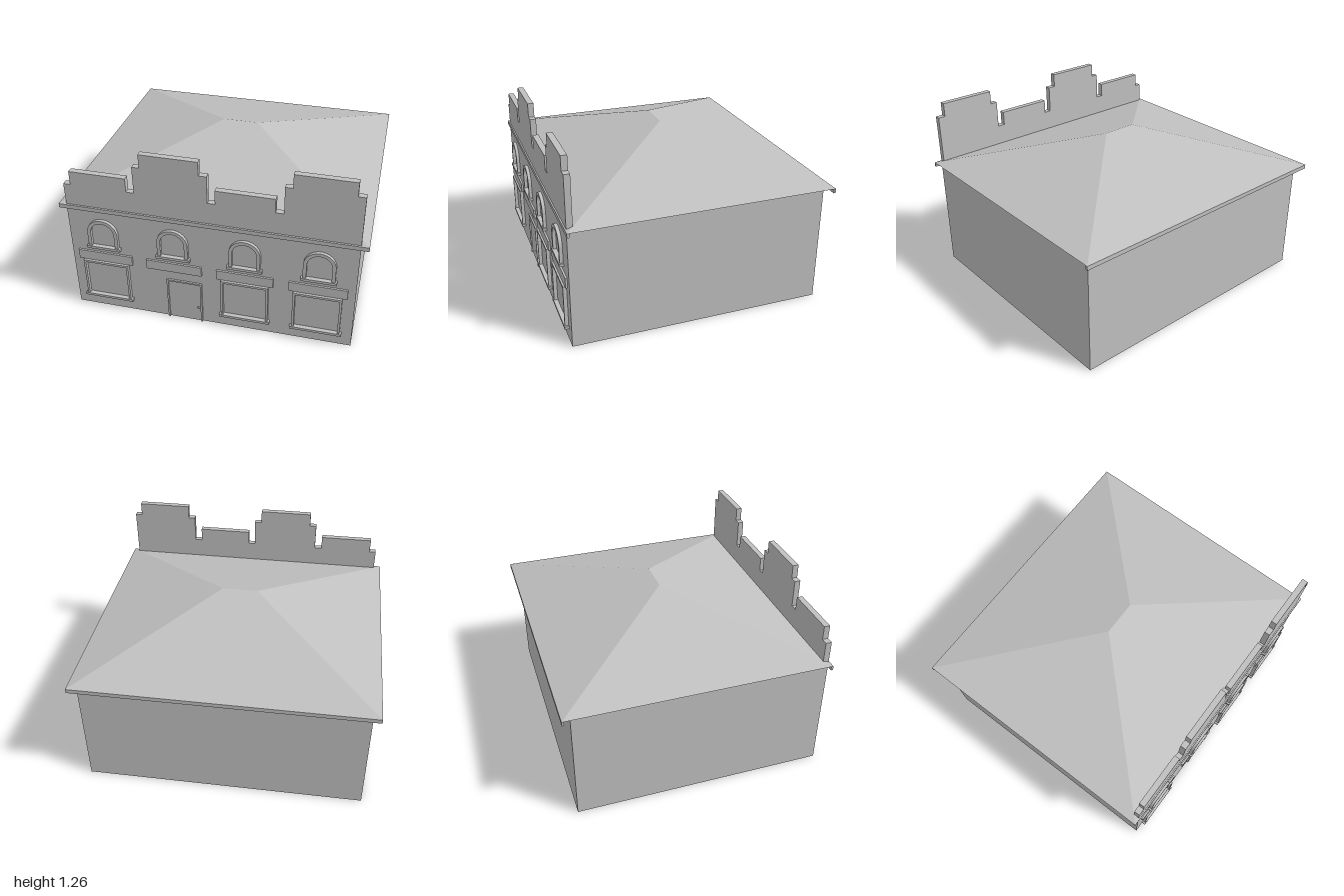
import * as THREE from 'three';

export function createModel() {
  const model = new THREE.Group();
  model.name = 'building';
  const grey = new THREE.MeshStandardMaterial({ color: 0xc0c0c0 });
  grey.name = 'plain grey';
  const wallZ = 0.866;

  const add = (name, geometry, parent = model) => {
    const mesh = new THREE.Mesh(geometry, grey);
    mesh.name = name;
    parent.add(mesh);
    return mesh;
  };
  // Box given by its lower and upper corners
  const box = (name, x0, x1, y0, y1, z0, z1, parent) =>
    add(name, new THREE.BoxGeometry(x1 - x0, y1 - y0, z1 - z0), parent)
      .position.set((x0 + x1) / 2, (y0 + y1) / 2, (z0 + z1) / 2);
  const extrude = (shape, depth) =>
    new THREE.ExtrudeGeometry(shape, { depth, bevelEnabled: false, curveSegments: 16 });
  const rect = (w, y0, y1) => [[-w, y0], [w, y0], [w, y1], [-w, y1]].map(p => new THREE.Vector2(...p));
  const arch = (path, r, y0, yc) => {
    path.moveTo(-r, y0);
    path.lineTo(r, y0);
    path.lineTo(r, yc);
    path.absarc(0, yc, r, 0, Math.PI, false);
    path.closePath();
    return path;
  };

  // Main block
  box('walls', -0.95, 0.95, 0, 0.82, -0.836, wallZ);

  // Hipped roof with a short ridge: four slopes and a flat underside
  const eave = 0.822, ridge = 1.094, zb = -0.895, zf = 0.875, zm = -0.012;
  const a = [-1, eave, zf], b = [1, eave, zf], c = [1, eave, zb], d = [-1, eave, zb];
  const l = [-0.12, ridge, zm], r = [0.12, ridge, zm];
  const faces = [a, b, r, a, r, l, c, d, l, c, l, r, b, c, r, d, a, l, a, d, c, a, c, b];
  const roof = new THREE.BufferGeometry();
  roof.setAttribute('position', new THREE.Float32BufferAttribute(faces.flat(), 3));
  roof.computeVertexNormals();
  add('hippedRoof', roof);
  box('frontEaveBoard', -1, 1, 0.793, eave, 0.86, zf);
  box('backEaveBoard', -1, 1, 0.793, eave, zb, zb + 0.014);

  // Stepped parapet: pairs of right-hand edge and top height
  const steps = [
    [-0.903, 0.978], [-0.527, 1.075], [-0.476, 0.978], [-0.428, 1.168], [-0.051, 1.263], [0, 1.168],
    [0.048, 0.978], [0.425, 1.075], [0.476, 0.978], [0.524, 1.168], [0.901, 1.263], [0.95, 1.168],
  ];
  const outline = new THREE.Shape().moveTo(-0.95, 0.8);
  let left = -0.95;
  for (const [right, top] of steps) {
    outline.lineTo(left, top);
    outline.lineTo(right, top);
    left = right;
  }
  outline.lineTo(0.95, 0.8);
  add('steppedParapet', extrude(outline, 0.04)).position.z = wallZ - 0.04;

  // Four bays: arched window, sign board, then shop window or door
  [-0.715, -0.239, 0.237, 0.713].forEach((x, i) => {
    const bay = new THREE.Group();
    bay.name = 'bay' + (i + 1);
    bay.position.set(x, 0, wallZ);
    model.add(bay);

    const archFrame = arch(new THREE.Shape(), 0.103, 0.525, 0.632);
    archFrame.holes.push(arch(new THREE.Path(), 0.08, 0.527, 0.632));
    add('archedWindowFrame', extrude(archFrame, 0.022), bay);
    box('archedWindowSill', -0.115, 0.115, 0.508, 0.527, 0, 0.029, bay);
    box('signBoard', -0.188, 0.188, 0.398, 0.468, 0, 0.013, bay);
    if (i === 1) return;

    const shopFrame = new THREE.Shape(rect(0.158, 0.105, 0.393));
    shopFrame.holes.push(new THREE.Path(rect(0.143, 0.107, 0.377)));
    add('shopWindowFrame', extrude(shopFrame, 0.024), bay);
    box('shopWindowSill', -0.171, 0.171, 0.089, 0.107, 0, 0.029, bay);
  });

  // Door with thin frame, hinges and handle
  const door = new THREE.Group();
  door.name = 'door';
  door.position.set(-0.174, 0, wallZ);
  model.add(door);
  for (const s of [-1, 1]) {
    box('doorJamb', s * 0.115 - 0.006, s * 0.115 + 0.006, 0, 0.325, 0, 0.012, door);
  }
  box('doorLintel', -0.121, 0.121, 0.314, 0.326, 0, 0.012, door);
  box('doorLeaf', -0.109, 0.109, 0.002, 0.314, 0, 0.004, door);
  for (const y of [0.12, 0.215]) {
    box('hinge', -0.121, -0.111, y - 0.02, y + 0.02, 0, 0.015, door);
  }
  box('doorHandle', 0.088, 0.106, 0.114, 0.124, 0, 0.015, door);

  return model;
}
